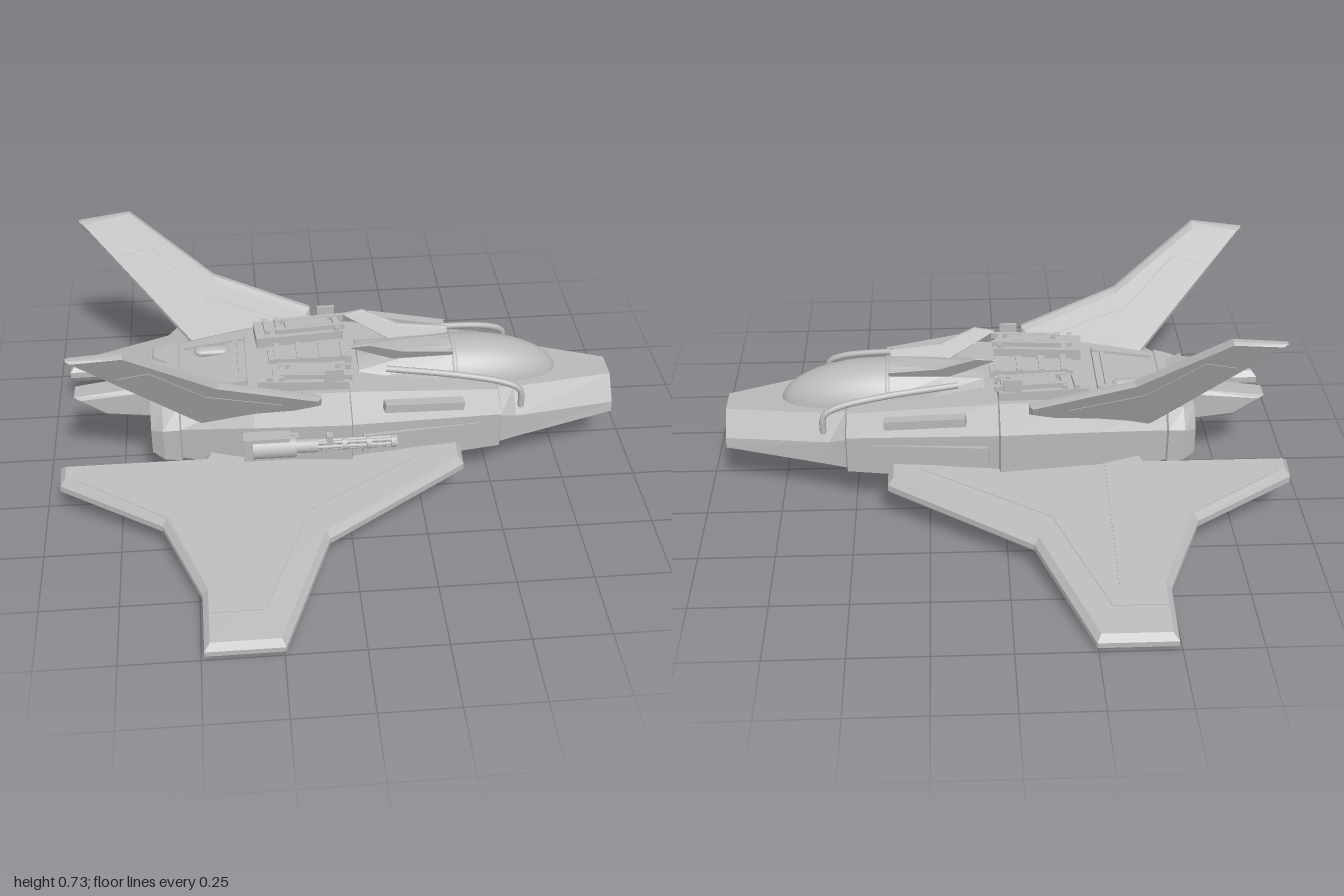
import * as THREE from 'three';

const hullGrey = new THREE.MeshStandardMaterial({ color: 0xb8b8b8 });
hullGrey.name = 'hullGrey';

// Reflected copy across the centre plane, with corner order restored
function mirrored(geo) {
  const g = geo.index ? geo.toNonIndexed() : geo.clone();
  g.scale(1, 1, -1);
  for (const key of ['position', 'normal']) {
    const a = g.attributes[key];
    for (let i = 0; i < a.count; i += 3) {
      const b = [a.getX(i + 1), a.getY(i + 1), a.getZ(i + 1)];
      a.setXYZ(i + 1, a.getX(i + 2), a.getY(i + 2), a.getZ(i + 2));
      a.setXYZ(i + 2, ...b);
    }
  }
  return g;
}

// Bevelled plate cut from an outline, then placed by a rule
function plate(pts, thick, bevel, rule) {
  const shape = new THREE.Shape(pts.map(p => new THREE.Vector2(p[0], p[1])));
  const g = new THREE.ExtrudeGeometry(shape, {
    depth: thick - 2 * bevel, bevelEnabled: bevel > 0, bevelSize: bevel,
    bevelOffset: -bevel, bevelThickness: bevel, bevelSegments: 1,
  });
  g.translate(0, 0, -(thick - 2 * bevel) / 2);
  const p = g.attributes.position;
  for (let i = 0; i < p.count; i++) p.setXYZ(i, ...rule(p.getX(i), p.getY(i), p.getZ(i)));
  g.computeVertexNormals();
  return g;
}

// Faceted skin over cross-sections running from nose to tail
function loft(sections) {
  const rings = sections.map(([x, half]) => [
    ...half.map(([z, y]) => [x, y, z]),
    ...half.slice().reverse().map(([z, y]) => [x, y, -z]),
  ]);
  const n = rings[0].length, pos = [];
  const tri = (...v) => v.forEach(p => pos.push(...p));
  for (let i = 0; i < rings.length - 1; i++) {
    for (let j = 0; j < n; j++) {
      const k = (j + 1) % n, A = rings[i], B = rings[i + 1];
      tri(A[j], A[k], B[j]);
      tri(A[k], B[k], B[j]);
    }
  }
  const first = rings[0], last = rings[rings.length - 1];
  for (let j = 1; j < n - 1; j++) {
    tri(first[0], first[j + 1], first[j]);
    tri(last[0], last[j], last[j + 1]);
  }
  const g = new THREE.BufferGeometry();
  g.setAttribute('position', new THREE.Float32BufferAttribute(pos, 3));
  g.computeVertexNormals();
  return g;
}

function box(x, y, z, w, h, d, yaw = 0, pitch = 0) {
  return new THREE.BoxGeometry(w, h, d).rotateZ(pitch).rotateY(yaw).translate(x, y, z);
}

export function createModel() {
  const model = new THREE.Group();
  model.name = 'starfighter';
  const add = (name, geo) => {
    const m = new THREE.Mesh(geo, hullGrey);
    m.name = name;
    model.add(m);
  };
  const pair = (name, geo) => {
    add(name + 'Left', geo);
    add(name + 'Right', mirrored(geo));
  };

  // Hull with recessed nose intake and engine bay
  const nose = [[0.07, 0.15], [0.12, 0.18], [0.115, 0.215], [0.05, 0.29]];
  const tail = [[0.16, 0.14], [0.21, 0.18], [0.21, 0.27], [0.16, 0.33]];
  const inset = (s, k, cy) => s.map(([z, y]) => [z * k, cy + (y - cy) * k]);
  add('hull', loft([
    [0.89, inset(nose, 0.78, 0.21)],
    [0.93, inset(nose, 0.78, 0.21)],
    [0.935, nose],
    [0.58, [[0.14, 0.122], [0.215, 0.165], [0.21, 0.25], [0.14, 0.32]]],
    [0.525, [[0.15, 0.118], [0.235, 0.165], [0.23, 0.27], [0.15, 0.33]]],
    [0.52, [[0.16, 0.112], [0.25, 0.16], [0.25, 0.29], [0.17, 0.335]]],
    [0.02, [[0.21, 0.092], [0.31, 0.15], [0.31, 0.325], [0.21, 0.385]]],
    [0.015, [[0.22, 0.086], [0.325, 0.145], [0.325, 0.335], [0.22, 0.392]]],
    [-0.3, [[0.22, 0.09], [0.3, 0.15], [0.3, 0.325], [0.2, 0.38]]],
    [-0.54, [[0.19, 0.12], [0.235, 0.17], [0.235, 0.285], [0.18, 0.345]]],
    [-0.545, [[0.19, 0.115], [0.245, 0.165], [0.245, 0.29], [0.19, 0.35]]],
    [-0.6, [[0.19, 0.12], [0.24, 0.17], [0.24, 0.285], [0.18, 0.34]]],
    [-0.64, tail],
    [-0.64, inset(tail, 0.82, 0.235)],
    [-0.57, inset(tail, 0.82, 0.235)],
  ]));
  for (let i = -4; i <= 4; i++) {
    add('noseGrilleBar', box(0.905, 0.205, i * 0.018, 0.03, 0.105 - Math.abs(i) * 0.013, 0.008));
  }
  for (const z of [0.075, 0.11, 0.145]) pair('engineBayBar', box(-0.605, 0.235, z, 0.05, 0.14, 0.012));

  // Tail boom and its small aerial
  add('tailBoom', plate([[-0.55, 0.33], [-0.64, 0.325], [-0.9, 0.29], [-0.8, 0.215], [-0.55, 0.19]],
    0.105, 0.015, (x, y, t) => [x, y, t * (1 + (x + 0.6) * 0.5)]));
  pair('tailFlap', box(-0.6, 0.35, 0.1, 0.07, 0.01, 0.06, 0, -0.45));

  // Drooping main wings and their raised panels
  const wingY = z => 0.163 - 0.194 * (z - 0.3);
  pair('wing', plate([
    [0.385, 0.18], [0.385, 0.345], [-0.08, 0.615], [-0.245, 1], [-0.49, 1], [-0.49, 0.8],
    [-0.61, 0.53], [-0.94, 0.345], [-0.94, 0.27], [-0.47, 0.27], [-0.43, 0.18],
  ], 0.054, 0.018, (x, s, t) => [x, wingY(s) - t * (1.36 - 0.36 * s), s]));
  const wingPanel = [[0.28, 0.3], [-0.14, 0.52], [-0.3, 0.88], [-0.47, 0.88], [-0.47, 0.8],
    [-0.59, 0.52], [-0.9, 0.34], [-0.9, 0.3]];
  for (const side of [1, -1]) {
    pair(side > 0 ? 'wingTopPanel' : 'wingUnderPanel', plate(wingPanel, 0.004, 0,
      (x, s, t) => [x, wingY(s) + side * 0.027 * (1.36 - 0.36 * s) - t, s]));
  }
  pair('wingSeam', plate([[-0.332, 0.3], [-0.328, 0.3], [-0.328, 0.8], [-0.332, 0.8]], 0.004, 0,
    (x, s, t) => [x, wingY(s) + 0.031 * (1.36 - 0.36 * s) - t, s]));

  // Tall canted tail fins
  const finZ = y => 0.245 + (y - 0.37) * 0.51;
  pair('tailFin', plate([
    [-0.865, 0.715], [-0.69, 0.735], [-0.41, 0.53], [-0.08, 0.415], [-0.08, 0.37],
    [-0.32, 0.3], [-0.42, 0.235],
  ], 0.04, 0.012, (x, y, t) => [x, y, finZ(y) + t]));
  const finPanel = [[-0.72, 0.61], [-0.62, 0.635], [-0.45, 0.475], [-0.21, 0.4], [-0.21, 0.385], [-0.49, 0.37]];
  for (const side of [1, -1]) {
    pair(side > 0 ? 'finOuterPanel' : 'finInnerPanel',
      plate(finPanel, 0.004, 0, (x, y, t) => [x, y, finZ(y) + side * 0.021 + t]));
  }

  // Smooth canopy with a frame hoop
  add('canopy', new THREE.SphereGeometry(1, 40, 24).scale(0.335, 0.145, 0.13).translate(0.415, 0.29, 0));
  add('canopyFrame', new THREE.TorusGeometry(1, 0.03, 6, 32, Math.PI)
    .rotateY(Math.PI / 2).scale(0.3, 0.146, 0.131).translate(0.385, 0.29, 0));
  add('canopyFairing', loft([
    [0.38, [[0.13, 0.3], [0.115, 0.36], [0.07, 0.415], [0.03, 0.432]]],
    [0.2, [[0.13, 0.33], [0.11, 0.38], [0.07, 0.41], [0.03, 0.42]]],
    [0.06, [[0.11, 0.36], [0.09, 0.385], [0.06, 0.395], [0.03, 0.4]]],
  ]));

  // Small blades beside the canopy
  pair('canopyBlade', plate([
    [0.02, 0.49], [0.09, 0.5], [0.21, 0.452], [0.38, 0.437], [0.38, 0.405], [0.18, 0.405],
  ], 0.014, 0.003, (x, y, t) => [x, y, 0.07 + (y - 0.43) * 0.5 + t]));

  // Handrails and shoulder strips
  const rail = new THREE.CatmullRomCurve3([
    [0.15, 0.4, 0.11], [0.4, 0.385, 0.15], [0.55, 0.36, 0.172], [0.595, 0.335, 0.18], [0.6, 0.27, 0.182],
  ].map(p => new THREE.Vector3(...p)));
  pair('handrail', new THREE.TubeGeometry(rail, 24, 0.011, 8));
  pair('shoulderStrip', box(0.26, 0.347, 0.25, 0.27, 0.03, 0.035, 0.13, -0.11));
  pair('sideArmour', box(0.25, 0.24, 0.28, 0.4, 0.07, 0.02, 0.145, -0.04));

  // Engine deck: twin housings, spine and louvres
  const yaw = -0.08;
  pair('engineHousing', box(-0.13, 0.395, 0.138, 0.3, 0.05, 0.105, yaw));
  pair('housingRim', box(-0.09, 0.427, 0.112, 0.24, 0.02, 0.014, yaw));
  pair('housingRim', box(-0.09, 0.427, 0.17, 0.24, 0.02, 0.014, yaw));
  pair('housingCover', box(-0.1, 0.425, 0.14, 0.15, 0.024, 0.04, yaw));
  for (const x of [-0.24, -0.2, 0]) pair('housingCrossbar', box(x, 0.424, 0.14, 0.018, 0.02, 0.08, yaw));
  pair('deckBlade', box(-0.03, 0.44, 0.19, 0.06, 0.05, 0.01));
  add('deckSpine', box(-0.1, 0.39, 0, 0.28, 0.04, 0.08));
  for (let i = 0; i < 4; i++) add('spineRib', box(-0.21 + i * 0.075, 0.412, 0, 0.02, 0.014, 0.095));

  // Rear hatch with frame and latch
  add('rearHatch', box(-0.42, 0.364, 0, 0.21, 0.02, 0.27, 0, 0.14));
  pair('hatchFrame', box(-0.42, 0.374, 0.125, 0.21, 0.018, 0.018, 0, 0.14));
  add('hatchSlot', box(-0.35, 0.386, 0, 0.014, 0.012, 0.23, 0, 0.14));
  add('hatchLatch', new THREE.CapsuleGeometry(0.025, 0.07, 6, 12).rotateZ(Math.PI / 2)
    .scale(1, 0.6, 1).translate(-0.43, 0.378, -0.08));

  // Belly plates
  add('bellyPlate', box(0.22, 0.1, 0, 0.18, 0.02, 0.28, 0, 0.045));
  add('bellyKeel', box(-0.12, 0.088, 0, 0.3, 0.012, 0.2));

  // Rotary cannon on the left flank
  const tube = (x0, x1, r, y = 0.283, z = 0.35) => new THREE.CylinderGeometry(r, r, x1 - x0, 14)
    .rotateZ(Math.PI / 2).translate((x0 + x1) / 2, y, z);
  add('cannonBody', tube(-0.31, -0.17, 0.036));
  add('cannonBreech', box(-0.265, 0.285, 0.345, 0.15, 0.085, 0.045));
  add('cannonMount', box(-0.22, 0.283, 0.31, 0.12, 0.05, 0.05));
  add('cannonCollar', tube(-0.17, -0.1, 0.024));
  add('cannonGrip', box(-0.06, 0.285, 0.35, 0.02, 0.075, 0.025));
  for (let i = 0; i < 6; i++) {
    const a = i * Math.PI / 3;
    add('cannonBarrel', tube(-0.1, 0.16, 0.006, 0.283 + 0.013 * Math.sin(a), 0.35 + 0.013 * Math.cos(a)));
  }
  for (const x of [-0.02, 0.06, 0.14]) add('barrelClamp', tube(x, x + 0.015, 0.021));

  return model;
}
